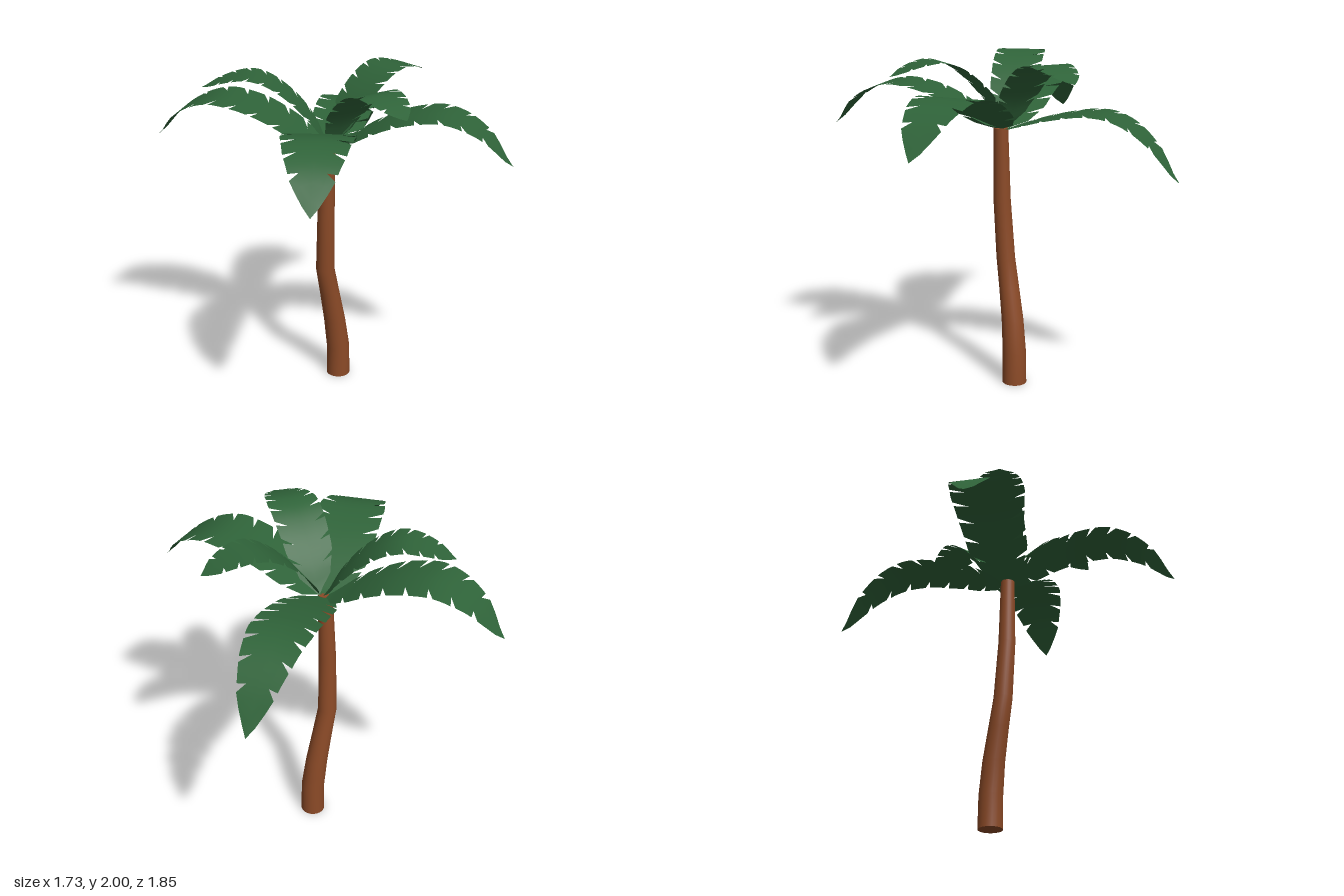
import * as THREE from 'three';
import { mergeGeometries, mergeVertices } from 'three/addons/utils/BufferGeometryUtils.js';

const bark = new THREE.MeshStandardMaterial({ color: 0x8b4a27 });
bark.name = 'bark brown';
const green = new THREE.MeshStandardMaterial({ color: 0x2f6339, side: THREE.DoubleSide });
green.name = 'frond green';

// Trunk rings from the ground up: [centre x, y, centre z, radius]
const RINGS = [
  [0.095, 0, -0.087, 0.074], [0.093, 0.2, -0.086, 0.072], [0.066, 0.4, -0.08, 0.067],
  [0.028, 0.6, -0.066, 0.061], [-0.007, 0.78, -0.052, 0.057], [-0.01, 1.15, -0.029, 0.052],
  [0.0, 1.58, -0.02, 0.043],
];

function makeTrunk() {
  const n = RINGS.length - 1;
  let geo = new THREE.CylinderGeometry(1, 1, n, 24, n);
  geo.deleteAttribute('uv');
  geo = mergeVertices(geo);
  const pos = geo.attributes.position;
  for (let i = 0; i < pos.count; i++) {
    const [x, y, z, r] = RINGS[Math.round(pos.getY(i) + n / 2)];
    pos.setXYZ(i, x + pos.getX(i) * r, y, z + pos.getZ(i) * r);
  }
  geo.computeVertexNormals();
  return new THREE.Mesh(geo, bark);
}

// Half-width along a frond, as [fraction of length, fraction of full width]
const OUTLINE = [[0, 0.25], [0.08, 0.6], [0.2, 0.92], [0.4, 1], [0.58, 1], [0.75, 0.83], [0.89, 0.56], [1, 0]];
function outline(t) {
  for (let i = 1; i < OUTLINE.length; i++) {
    const [a, wa] = OUTLINE[i - 1], [b, wb] = OUTLINE[i];
    if (t <= b) return THREE.MathUtils.lerp(wa, wb, (t - a) / (b - a));
  }
  return 0;
}

// Arching heights of the midrib at equal steps from base to tip
const LOW = [1.57, 1.64, 1.72, 1.785, 1.825, 1.84, 1.805, 1.72, 1.57];
const DROOPING = [1.57, 1.61, 1.65, 1.68, 1.7, 1.69, 1.63, 1.51, 1.33];
const HIGH = [1.59, 1.73, 1.84, 1.92, 1.975, 1.997, 1.985, 1.957, 1.92];

// Where the leaflets are split apart along the frond
const SPLITS = [0, 0.1, 0.21, 0.33, 0.45, 0.57, 0.69, 0.82, 1];
const ROWS = [0, 0.55, 1];
const STEPS = 3;

function makeFrond(base, tip, heights, width) {
  const arch = new THREE.SplineCurve(heights.map((y, i) => new THREE.Vector2(i / (heights.length - 1), y)));
  const dx = tip[0] - base[0], dz = tip[1] - base[1], len = Math.hypot(dx, dz);

  const leaflets = [];
  for (const side of [1, -1]) {
    for (let k = 0; k < SPLITS.length - 1; k++) {
      const u0 = SPLITS[k], u1 = SPLITS[k + 1], last = k === SPLITS.length - 2;
      const verts = [], index = [];
      for (let i = 0; i <= STEPS; i++) {
        for (const v of ROWS) {
          // the outer row is pinched to open a notch, and swept towards the tip
          let f = i / STEPS;
          if (v === 1) f = 0.12 + f * (last ? 0.88 : 0.76);
          const u = THREE.MathUtils.lerp(u0, u1, f);
          const t = Math.min(1, u + 0.075 * v * Math.min(1, 3 * (1 - u)));
          const off = side * v * width * outline(t);
          verts.push(
            base[0] + dx * t - (dz / len) * off,
            arch.getPoint(t).y,
            base[1] + dz * t + (dx / len) * off,
          );
        }
      }
      for (let i = 0; i < STEPS; i++) {
        for (let j = 0; j < ROWS.length - 1; j++) {
          const a = i * ROWS.length + j, b = a + ROWS.length;
          if (side > 0) index.push(a, a + 1, b, b, a + 1, b + 1);
          else index.push(a, b, a + 1, b, b + 1, a + 1);
        }
      }
      const geo = new THREE.BufferGeometry();
      geo.setAttribute('position', new THREE.Float32BufferAttribute(verts, 3));
      geo.setIndex(index);
      leaflets.push(geo);
    }
  }
  const frond = mergeVertices(mergeGeometries(leaflets));
  frond.computeVertexNormals();
  return new THREE.Mesh(frond, green);
}

export function createModel() {
  const model = new THREE.Group();
  model.name = 'palmTree';

  const trunk = makeTrunk();
  trunk.name = 'trunk';
  model.add(trunk);

  // Crown: four long spreading fronds and three short upright ones
  const crown = new THREE.Group();
  crown.name = 'crown';
  const fronds = [
    ['rightBackFrond', [0.01, -0.03], [-0.87, -0.63], LOW, 0.2],
    ['leftFrontFrond', [-0.01, -0.02], [0.86, 0.63], LOW, 0.2],
    ['rightFrontFrond', [0.0, -0.05], [-0.45, 0.92], LOW, 0.2],
    ['droopingBackFrond', [0.01, -0.02], [0.58, -0.925], DROOPING, 0.18],
    ['upperLeftFrond', [0.03, -0.05], [0.71, -0.27], HIGH, 0.145],
    ['upperRightFrond', [0.02, -0.06], [-0.66, -0.34], HIGH, 0.15],
    ['upperFrontFrond', [0.04, -0.05], [0.19, 0.65], HIGH, 0.15],
  ];
  for (const [name, ...shape] of fronds) {
    const frond = makeFrond(...shape);
    frond.name = name;
    crown.add(frond);
  }
  model.add(crown);
  return model;
}
